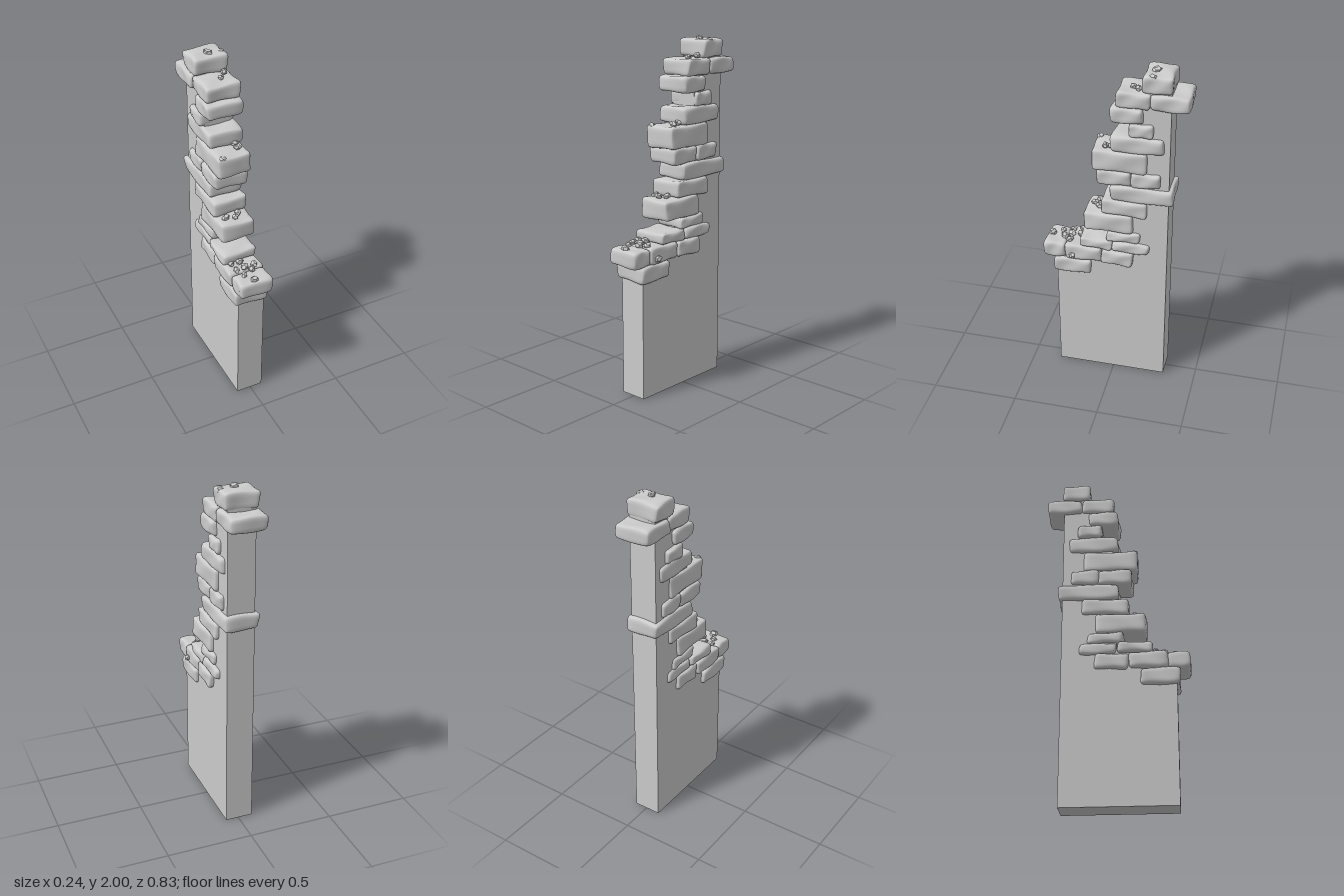
import * as THREE from 'three';
import { mergeVertices } from 'three/addons/utils/BufferGeometryUtils.js';

const grey = new THREE.MeshStandardMaterial({ color: 0xcccccc });
const greyFlat = new THREE.MeshStandardMaterial({ color: 0xcccccc, flatShading: true });

// Small seeded random number generator
let seed = 7;
const rand = () => (seed = (seed * 16807) % 2147483647) / 2147483647;
const spread = (a) => (rand() * 2 - 1) * a;

// Worn stone: a box with rounded edges, uneven corners and gently waved faces
function stoneGeometry(w, h, d) {
  let g = new THREE.BoxGeometry(2, 2, 2, 12, 10, 12);
  g.deleteAttribute('normal');
  g.deleteAttribute('uv');
  g = mergeVertices(g);
  const half = new THREE.Vector3(w / 2, h / 2, d / 2);
  const r = 0.022;
  const inner = half.clone().subScalar(r);
  const lean = [spread(0.006), spread(0.005), spread(0.006), spread(0.006)];
  const phase = rand() * 6;
  const p = g.attributes.position;
  const v = new THREE.Vector3(), c = new THREE.Vector3();
  const dense = (t) => Math.sin((t * Math.PI) / 2); // more rows near the edges
  for (let i = 0; i < p.count; i++) {
    v.fromBufferAttribute(p, i);
    v.set(dense(v.x), dense(v.y), dense(v.z)).multiply(half);
    c.copy(v).clamp(inner.clone().negate(), inner);
    v.sub(c).normalize().multiplyScalar(r).add(c);
    const a = v.x / half.x, b = v.y / half.y, e = v.z / half.z;
    v.x += lean[0] * b * e + 0.003 * a * Math.sin(4 * e + 2 * b + phase);
    v.y += lean[1] * a * e + 0.003 * b * Math.sin(3 * a + 3 * e + phase);
    v.z += lean[2] * a * b + lean[3] * a * 0.5 + 0.003 * e * Math.cos(3 * a + phase);
    p.setXYZ(i, v.x, v.y, v.z);
  }
  g.computeVertexNormals();
  return g;
}

// Broken pebble: a low-poly lump with shifted corners
function pebbleGeometry(size) {
  let g = new THREE.DodecahedronGeometry(size, 0);
  g.deleteAttribute('normal');
  g.deleteAttribute('uv');
  g = mergeVertices(g, 1e-4);
  const p = g.attributes.position;
  for (let i = 0; i < p.count; i++) {
    const k = 0.8 + rand() * 0.35;
    p.setXYZ(i, p.getX(i) * k, p.getY(i) * k * 0.75, p.getZ(i) * k * 0.8);
  }
  g.computeVertexNormals();
  return g;
}

export function createModel() {
  seed = 7;
  const model = new THREE.Group();
  model.name = 'ruinedWall';

  // Plain wall core with a stepped front edge, drawn as (z, y) and extruded across x
  const outline = [
    [-0.31, 0], [0.335, 0], [0.335, 0.73], [0.3, 0.73], [0.3, 0.83], [0.17, 0.83],
    [0.17, 0.9], [0.0, 0.9], [0.0, 1.06], [0.04, 1.06], [0.04, 1.16], [-0.02, 1.16],
    [-0.02, 1.57], [-0.085, 1.57], [-0.085, 1.84], [-0.18, 1.84], [-0.18, 1.92], [-0.31, 1.92],
  ].map(([z, y]) => new THREE.Vector2(-z, y));
  const coreGeo = new THREE.ExtrudeGeometry(new THREE.Shape(outline), { depth: 0.16, bevelEnabled: false });
  coreGeo.rotateY(Math.PI / 2).translate(-0.085, 0, 0);
  const core = new THREE.Mesh(coreGeo, grey);
  core.name = 'wallCore';
  model.add(core);

  // Stones from the top course down: back z, front z, bottom y, top y
  const stones = new THREE.Group();
  stones.name = 'stones';
  [
    [-0.315, -0.155, 1.88, 1.98],
    [-0.408, -0.2, 1.787, 1.876],
    [-0.2, -0.015, 1.787, 1.88],
    [-0.16, 0.013, 1.697, 1.787],
    [-0.222, -0.085, 1.617, 1.697],
    [-0.275, 0.013, 1.522, 1.618],
    [-0.19, 0.122, 1.395, 1.52],
    [-0.1, 0.09, 1.305, 1.397],
    [-0.26, -0.1, 1.31, 1.4],
    [-0.333, 0.015, 1.21, 1.306],
    [-0.195, 0.07, 1.115, 1.21],
    [-0.118, 0.17, 1.0, 1.115],
    [-0.16, 0.04, 0.935, 1.0],
    [-0.21, 0.005, 0.868, 0.936],
    [0.005, 0.2, 0.872, 0.936],
    [0.285, 0.412, 0.775, 0.872],
    [0.07, 0.285, 0.778, 0.874],
    [-0.12, 0.07, 0.778, 0.87],
    [0.135, 0.352, 0.68, 0.777],
  ].forEach(([z0, z1, y0, y1], i) => {
    const width = 0.207 + spread(0.008);
    const stone = new THREE.Mesh(stoneGeometry(width, y1 - y0, z1 - z0), grey);
    stone.position.set(-0.004 + spread(0.004), (y0 + y1) / 2, (z0 + z1) / 2);
    stone.name = 'stone' + (i + 1);
    stones.add(stone);
  });
  model.add(stones);

  // Rubble lying on the ledges: x, y, z
  const rubble = new THREE.Group();
  rubble.name = 'rubble';
  [
    [0, 1.983, -0.215], [0.075, 1.972, -0.21],
    [0.055, 1.895, -0.13], [0.02, 1.885, -0.095],
    [0.045, 1.53, 0.05], [0.045, 1.535, 0.015], [-0.065, 1.515, 0.105],
    [0, 1.13, 0.125], [-0.05, 1.125, 0.1], [0.03, 1.13, 0.09],
    [-0.07, 0.885, 0.215], [-0.02, 0.885, 0.215], [-0.065, 0.883, 0.27], [-0.015, 0.885, 0.265],
    [0.045, 0.883, 0.265], [0.015, 0.883, 0.3], [-0.045, 0.88, 0.325], [-0.01, 0.878, 0.38],
    [0.1, 0.81, 0.24],
  ].forEach(([x, y, z], i) => {
    const pebble = new THREE.Mesh(pebbleGeometry(0.021 + rand() * 0.006), greyFlat);
    pebble.position.set(x, y, z);
    pebble.rotation.set(spread(0.4), rand() * 6, spread(0.4));
    pebble.name = 'pebble' + (i + 1);
    rubble.add(pebble);
  });
  model.add(rubble);

  return model;
}
